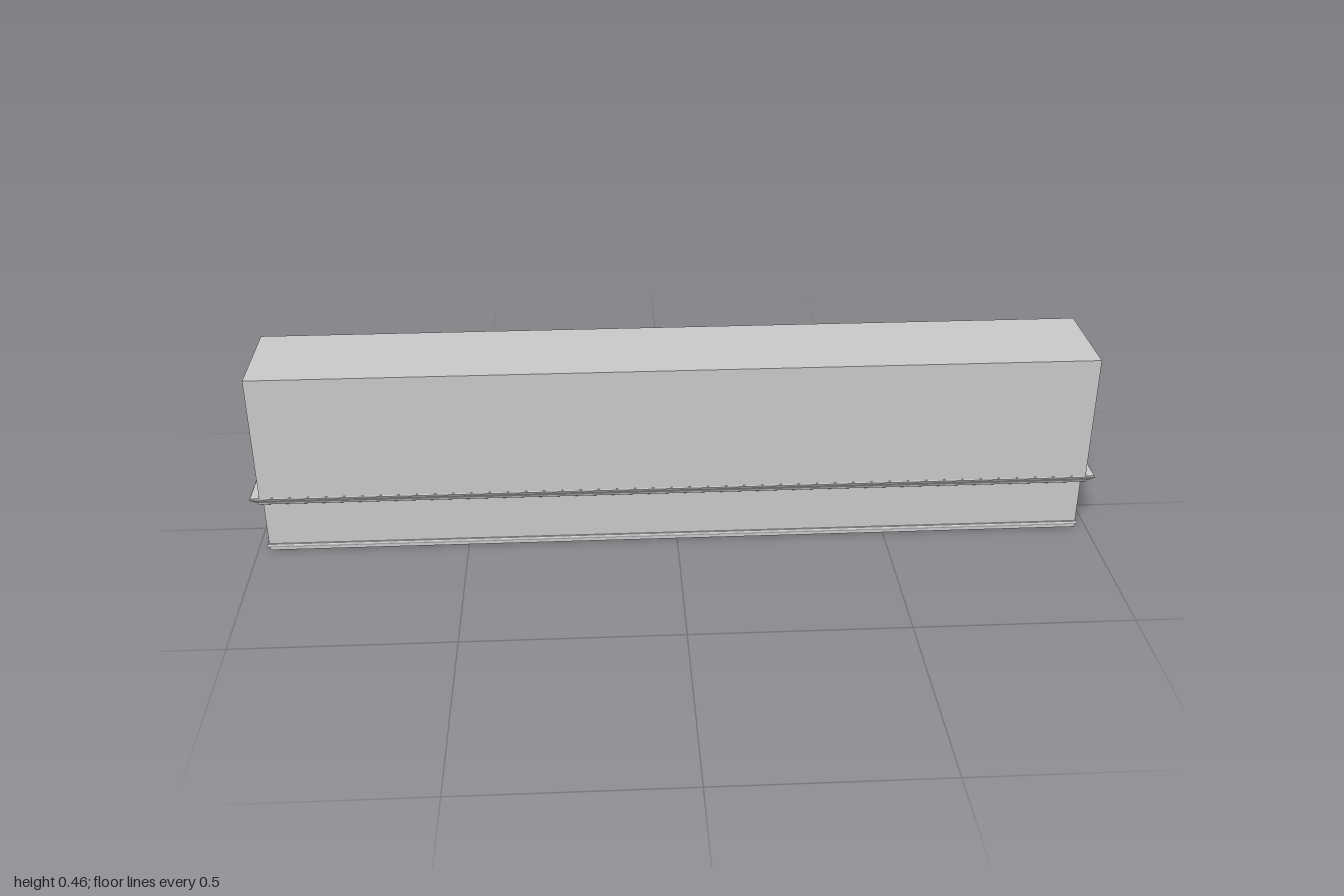
import * as THREE from 'three';

const material = new THREE.MeshStandardMaterial({ color: 0xcccccc, flatShading: true });

// Rectangular solid lofted through rings of [halfX, halfZ, y], bottom to top, capped at both ends
function loft(name, rings) {
  const corners = rings.map(([x, z, y]) => [[x, y, z], [x, y, -z], [-x, y, -z], [-x, y, z]]);
  const pos = [];
  const quad = (a, b, c, d) => pos.push(...a, ...b, ...c, ...a, ...c, ...d);
  for (let i = 0; i < corners.length - 1; i++) {
    const lo = corners[i], hi = corners[i + 1];
    for (let k = 0; k < 4; k++) {
      const n = (k + 1) % 4;
      quad(lo[k], lo[n], hi[n], hi[k]);
    }
  }
  const [b, t] = [corners[0], corners[corners.length - 1]];
  quad(b[3], b[2], b[1], b[0]);
  quad(t[0], t[1], t[2], t[3]);
  const geometry = new THREE.BufferGeometry();
  geometry.setAttribute('position', new THREE.Float32BufferAttribute(pos, 3));
  geometry.computeVertexNormals();
  const mesh = new THREE.Mesh(geometry, material);
  mesh.name = name;
  return mesh;
}

export function createModel() {
  const group = new THREE.Group();
  group.name = 'steppedBeam';

  // Narrow lower block
  group.add(loft('lowerBlock', [[0.973, 0.101, 0], [0.973, 0.101, 0.131]]));

  // Thin rounded bead around the foot
  group.add(loft('footBead', [
    [0.973, 0.101, 0.009], [0.976, 0.104, 0.0095], [0.9775, 0.1055, 0.012],
    [0.9775, 0.1055, 0.015], [0.976, 0.104, 0.0175], [0.973, 0.101, 0.018],
  ]));

  // Moulding that flares out under the upper block
  group.add(loft('cornice', [
    [0.979, 0.107, 0.13], [0.982, 0.11, 0.132], [0.983, 0.111, 0.136],
    [0.988, 0.114, 0.14], [0.994, 0.118, 0.145], [0.999, 0.1205, 0.148],
    [1, 0.1215, 0.151], [0.998, 0.1205, 0.154],
  ]));

  // Wide upper block
  group.add(loft('upperBlock', [[0.977, 0.1202, 0.15], [0.977, 0.1202, 0.459]]));

  return group;
}
